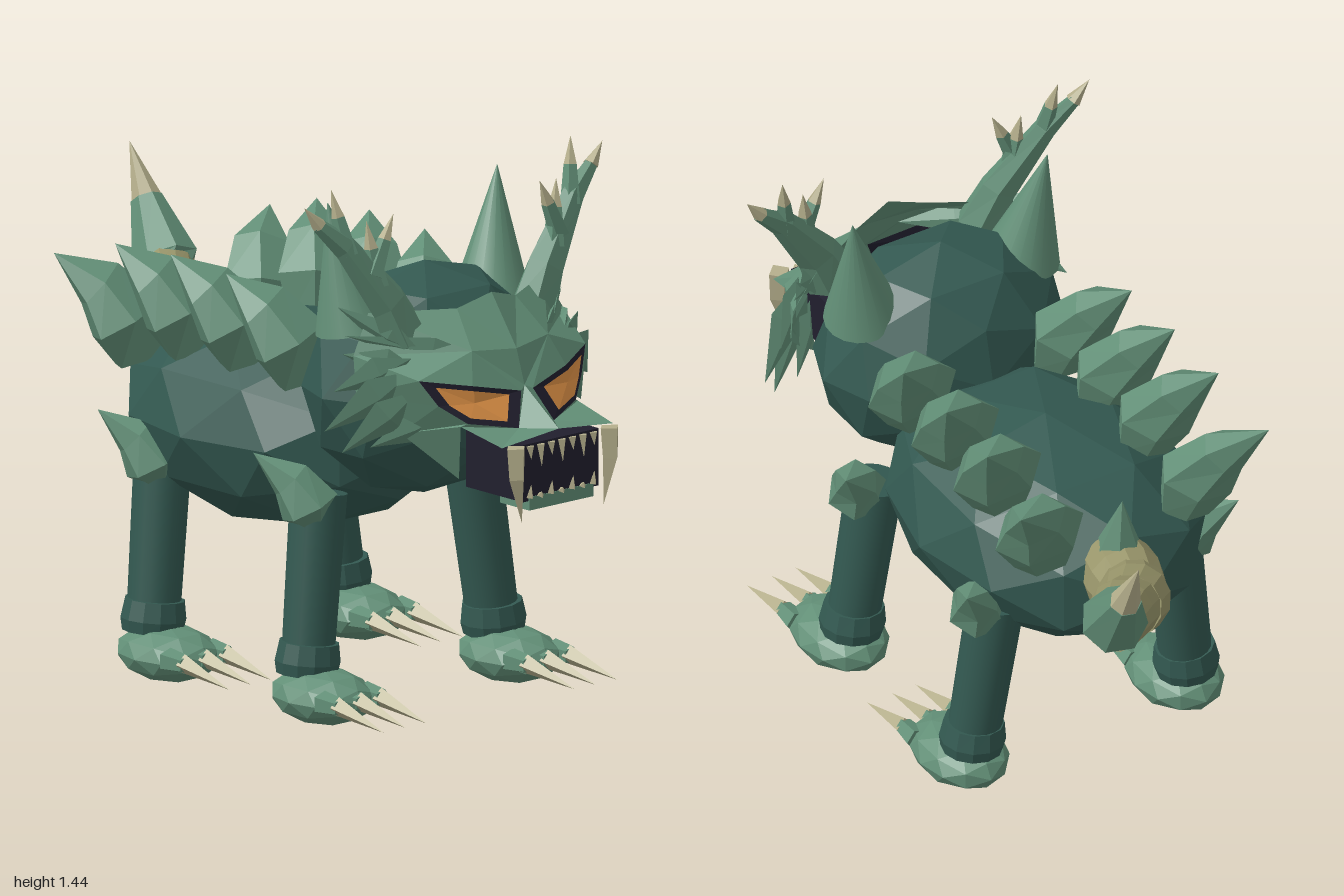
import * as THREE from 'three';

const mat = (name, color) => Object.assign(new THREE.MeshStandardMaterial({ color }), { name });

export function createModel() {
  const root = new THREE.Group();
  root.name = 'hornedBeast';
  const hide = mat('darkGreenHide', 0x335951);
  const plate = mat('paleGreenPlate', 0x628f77);
  const tan = mat('tanTail', 0x98956a);
  const bone = mat('bone', 0xb5af8c);
  const dark = mat('darkMouth', 0x211f2e);
  const amber = mat('amberEye', 0xe19347);
  for (const m of [plate, dark, amber]) m.side = THREE.DoubleSide;

  const vec = (p) => new THREE.Vector3(...p);
  const add = (name, geo, material) => {
    const m = new THREE.Mesh(geo, material);
    m.name = name;
    root.add(m);
    return m;
  };
  // Faceted mesh from a flat list of corners, three per triangle
  const facets = (name, corners, material) => {
    const g = new THREE.BufferGeometry().setFromPoints(corners);
    g.computeVertexNormals();
    return add(name, g, material);
  };
  // Faceted loft along points; hint is the wide direction, flat the thickness ratio
  const loft = (name, material, pts, radii, sides = 6, hint = [1, 0, 0], flat = 1) => {
    const P = pts.map(vec);
    const rings = P.map((p, i) => {
      const axis = P[Math.min(i + 1, P.length - 1)].clone().sub(P[Math.max(i - 1, 0)]).normalize();
      const w = vec(hint).addScaledVector(axis, -axis.dot(vec(hint))).normalize();
      const t = axis.clone().cross(w);
      return Array.from({ length: sides }, (_, j) => {
        const a = (j / sides) * Math.PI * 2;
        return p.clone().addScaledVector(w, radii[i] * Math.cos(a)).addScaledVector(t, radii[i] * flat * Math.sin(a));
      });
    });
    if (radii[0] > 0) rings.unshift(rings[0].map(() => P[0]));
    if (radii[radii.length - 1] > 0) rings.push(rings[rings.length - 1].map(() => P[P.length - 1]));
    const out = [];
    const tri = (a, b, c) => {
      if (b.clone().sub(a).cross(c.clone().sub(a)).length() > 1e-8) out.push(a, b, c);
    };
    for (let i = 0; i + 1 < rings.length; i++) {
      for (let j = 0; j < sides; j++) {
        const k = (j + 1) % sides, a = rings[i], b = rings[i + 1];
        tri(a[j], a[k], b[k]);
        tri(a[j], b[k], b[j]);
      }
    }
    return facets(name, out, material);
  };
  const lerp = (a, b, f) => a.map((v, i) => v + (b[i] - v) * f);
  // Kite-shaped scale, pointed at both ends
  const leaf = (name, base, tip, width, hint) =>
    loft(name, plate, [base, lerp(base, tip, 0.4), tip], [0, width / 2, 0], 4, hint, 0.35);
  // Smooth cylinder between two points
  const rod = (name, a, b, r0, r1, material) => {
    const A = vec(a), d = vec(b).sub(A);
    const m = add(name, new THREE.CylinderGeometry(r1, r0, d.length(), 18), material);
    m.position.copy(A).addScaledVector(d, 0.5);
    m.quaternion.setFromUnitVectors(new THREE.Vector3(0, 1, 0), d.normalize());
  };
  // Faceted ellipsoid
  const blob = (name, c, r, material) => {
    const g = new THREE.IcosahedronGeometry(1, 1).scale(...r);
    g.computeVertexNormals();
    add(name, g, material).position.set(...c);
  };

  // Trunk and head
  blob('body', [0, 0.665, -0.07], [0.375, 0.28, 0.49], hide);
  blob('head', [0, 0.86, 0.44], [0.35, 0.305, 0.26], hide);

  // Tail of three overlapping joints, bending to the left, with a horned end
  const joints = [
    [[0.035, 0.73, -0.46], [0.05, 0.73, -0.54], [0.07, 0.735, -0.62], 0.103],
    [[0.06, 0.735, -0.59], [0.09, 0.76, -0.65], [0.14, 0.79, -0.71], 0.095],
    [[0.12, 0.78, -0.69], [0.19, 0.82, -0.75], [0.26, 0.86, -0.83], 0.086],
  ];
  for (const [a, b, c, r] of joints) loft('tailJoint', tan, [a, b, c], [r * 0.94, r, r * 0.88], 12);
  loft('tailCap', plate, [[0.245, 0.85, -0.8], [0.26, 0.87, -0.83], [0.29, 1.01, -0.935]], [0.07, 0.088, 0.042], 7);
  loft('tailTip', bone, [[0.29, 1.005, -0.932], [0.29, 1.15, -1]], [0.042, 0], 7);
  loft('tailBaseSpike', plate, [[0.04, 0.78, -0.49], [0.04, 0.96, -0.51]], [0.07, 0], 6);

  // Mouth, jaw and teeth
  add('mouth', new THREE.BoxGeometry(0.26, 0.15, 0.215), dark).position.set(0, 0.725, 0.85);
  add('lowerJaw', new THREE.BoxGeometry(0.22, 0.035, 0.11), plate).position.set(0, 0.643, 0.905);
  for (let i = 0; i < 7; i++) {
    const x = (i - 3) * 0.036;
    const drop = i % 2 ? 0.065 : 0.04;
    loft('upperTooth', bone, [[x, 0.795, 0.962], [x, 0.8 - drop, 0.966]], [0.013, 0], 4);
    loft('lowerTooth', bone, [[x, 0.66, 0.96], [x, 0.735 - drop, 0.966]], [0.011, 0], 4);
  }

  // Half of the face mask: corners and triangles
  const facePoints = [
    [0, 1.13, 0.695], [0.1, 1.1, 0.675], [0.3, 1.1, 0.56], [0, 1.0, 0.79], [0.13, 1.01, 0.765], [0.36, 1.0, 0.57],
    [0, 0.91, 0.82], [0.02, 0.9, 0.83], [0.16, 0.93, 0.8], [0.285, 0.952, 0.735], [0.185, 0.837, 0.81],
    [0.06, 0.815, 0.865], [0.36, 0.9, 0.58], [0.28, 0.8, 0.66], [0.2, 0.83, 0.8], [0.19, 0.8, 0.945],
    [0, 0.82, 0.95], [0.17, 0.68, 0.76], [0.245, 0.885, 0.765],
  ];
  const faceTris = [
    [0, 3, 1], [1, 3, 4], [1, 4, 2], [2, 4, 5], [3, 6, 4], [4, 6, 7], [4, 7, 8], [4, 8, 9], [4, 9, 5], [5, 9, 12],
    [9, 18, 12], [18, 13, 12], [18, 10, 13], [10, 14, 13], [6, 11, 7], [6, 16, 11], [11, 16, 15], [11, 15, 14],
    [11, 14, 10], [13, 14, 17],
  ];
  const eyeLoop = [7, 11, 10, 18, 9, 8];

  for (const s of [1, -1]) {
    const m = (x, y, z) => [s * x, y, z];
    const side = s > 0 ? 'left' : 'right';
    const P = facePoints.map((p) => vec(m(...p)));
    const wind = (t) => (s > 0 ? t : [t[0], t[2], t[1]]);
    facets(side + 'FaceMask', faceTris.flatMap((t) => wind(t).map((i) => P[i])), plate);

    // Eye: dark rim with an amber plate just in front
    const loop = eyeLoop.map((i) => P[i]);
    const mid = loop.reduce((a, p) => a.add(p), new THREE.Vector3()).multiplyScalar(1 / loop.length);
    const fan = (k, dz) => loop.flatMap((p, i) =>
      wind([mid, p, loop[(i + 1) % loop.length]]).map((q) => {
        const r = mid.clone().lerp(q, k);
        r.z += dz;
        return r;
      }));
    facets(side + 'EyeRim', fan(1, 0), dark);
    facets(side + 'Eye', fan(0.72, 0.006), amber);

    // Fang
    loft(side + 'Fang', bone, [m(0.16, 0.8, 0.965), m(0.16, 0.72, 0.968), m(0.14, 0.6, 0.965)], [0.03, 0.025, 0], 4);

    // Brow and cheek scales: base, tip, width
    const scales = [
      [m(0.08, 0.98, 0.78), m(0.37, 1.05, 0.55), 0.08],
      [m(0.22, 1.0, 0.68), m(0.37, 1.12, 0.52), 0.09],
      [m(0.25, 0.97, 0.69), m(0.37, 1.0, 0.54), 0.09],
      [m(0.27, 1.0, 0.69), m(0.41, 0.91, 0.55), 0.1],
      [m(0.27, 0.97, 0.7), m(0.45, 0.815, 0.56), 0.12],
      [m(0.26, 0.92, 0.71), m(0.41, 0.755, 0.58), 0.11],
      [m(0.2, 0.86, 0.75), m(0.33, 0.76, 0.6), 0.1],
    ];
    for (const [a, b, w] of scales) leaf('faceScale', a, b, w, m(0.3, 1, 0.2));

    // Antler with bone-tipped prongs, flattened front to back
    loft(side + 'Antler', plate, [m(0.22, 1.03, 0.61), m(0.27, 1.13, 0.6), m(0.39, 1.29, 0.57), m(0.47, 1.36, 0.555)],
      [0.072, 0.058, 0.036, 0.02], 6, [1, 0, 0], 0.75);
    loft('antlerTip', bone, [m(0.465, 1.357, 0.556), m(0.51, 1.41, 0.55)], [0.021, 0], 6);
    const prongs = [
      [m(0.38, 1.27, 0.575), m(0.41, 1.44, 0.54), 0.028],
      [m(0.3, 1.18, 0.6), m(0.325, 1.35, 0.58), 0.03],
      [m(0.32, 1.21, 0.6), m(0.25, 1.36, 0.6), 0.028],
    ];
    for (const [a, b, r] of prongs) {
      const c = lerp(a, b, 0.58);
      loft('antlerProng', plate, [a, c], [r, r * 0.65], 5);
      loft('prongTip', bone, [c, b], [r * 0.65, 0], 5);
    }

    // Horn behind the antler
    rod(side + 'Horn', m(0.235, 1.03, 0.435), m(0.29, 1.355, 0.395), 0.102, 0.001, plate);

    // Row of broad, overlapping back scales curving up to a point
    for (const [z, y, x] of [[0.065, 1.115, 0.34], [-0.145, 1.125, 0.34], [-0.35, 1.115, 0.345], [-0.555, 1.055, 0.37]]) {
      loft('backScale', plate,
        [m(0.21, y - 0.27, z + 0.15), m(0.235, y - 0.17, z + 0.13), m(0.28, y - 0.08, z + 0.075), m(x, y, z)],
        [0.08, 0.122, 0.085, 0], 6, m(1, -0.2, 0.2), 0.75);
    }

    // Legs: front and rear, with shoulder scale, cuff, foot and claws
    for (const [end, zTop, zLow] of [['Front', 0.33, 0.35], ['Rear', -0.26, -0.235]]) {
      const name = side + end;
      const zf = zLow + 0.06;
      rod(name + 'Leg', m(0.262, 0.58, zTop), m(0.32, 0.13, zLow), 0.074, 0.068, hide);
      loft(name + 'Cuff', hide, [m(0.32, 0.12, zLow), m(0.318, 0.15, zLow), m(0.313, 0.2, zLow)], [0.08, 0.086, 0.078], 12);
      loft(name + 'ShoulderScale', plate,
        [m(0.29, 0.5, zTop + 0.02), m(0.305, 0.55, zTop + 0.015), m(0.335, 0.62, zTop - 0.025), m(0.405, 0.69, zTop - 0.09)],
        [0.03, 0.083, 0.06, 0], 6, m(0.3, 0, 1), 0.95);
      blob(name + 'Foot', m(0.32, 0.071, zf), [0.117, 0.071, 0.155], plate);
      for (const x of [0.25, 0.32, 0.395]) {
        loft('toe', plate, [m(x, 0.08, zf + 0.08), m(x, 0.08, zf + 0.15)], [0.032, 0.024], 5);
        loft('claw', bone, [m(x, 0.082, zf + 0.14), m(x + 0.005, 0.048, zf + 0.32)], [0.026, 0], 4);
      }
    }
  }
  return root;
}
